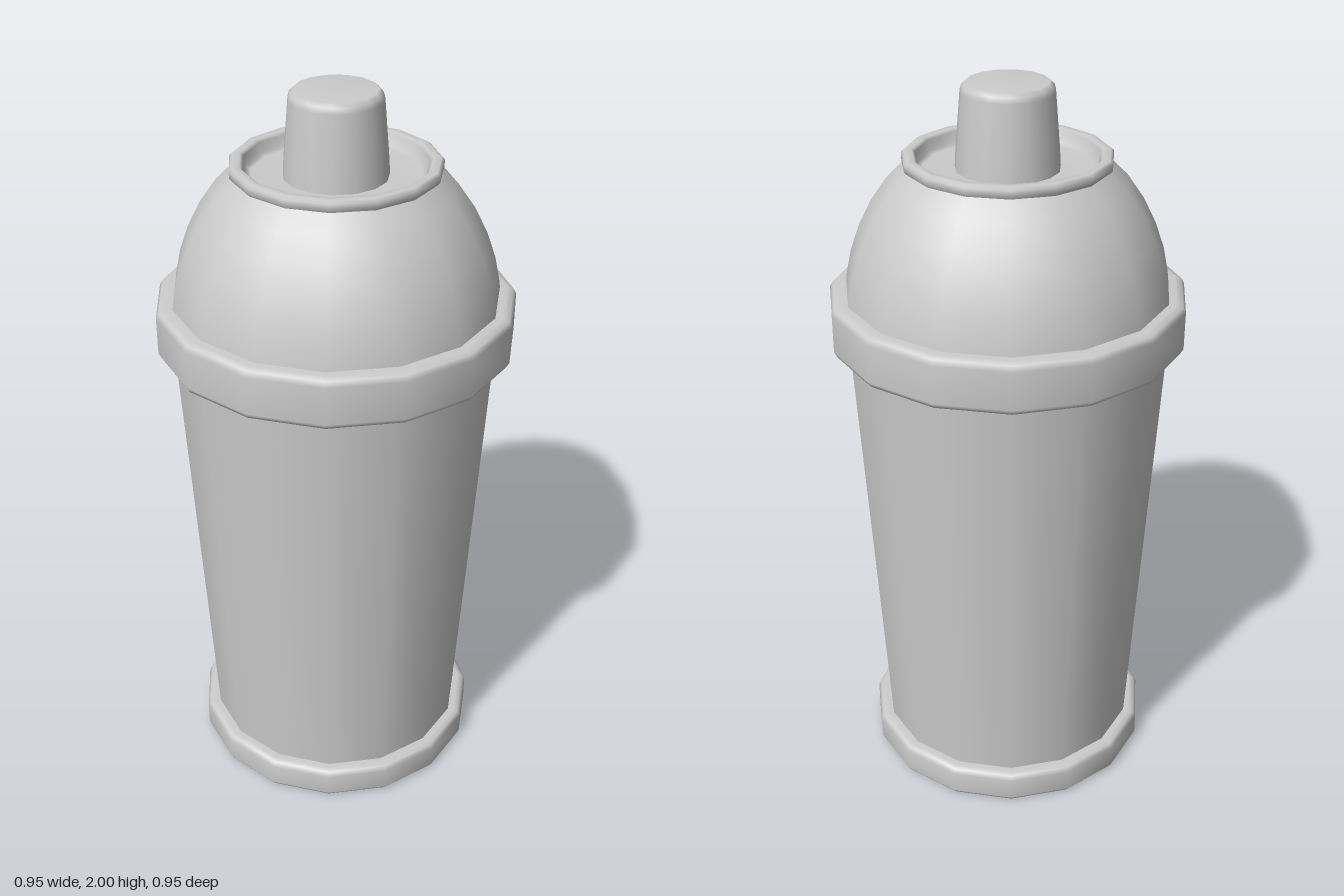
import * as THREE from 'three';

const SIDES = 15;

export function createModel() {
  const model = new THREE.Group();
  model.name = 'shaker';
  const material = new THREE.MeshStandardMaterial({ color: 0xcccccc, side: THREE.DoubleSide });

  // Every part is turned from a [radius, height] profile, with a corner facing the back
  function turned(name, profile) {
    const points = profile.map(([r, y]) => new THREE.Vector2(r, y));
    const mesh = new THREE.Mesh(new THREE.LatheGeometry(points, SIDES, Math.PI), material);
    mesh.name = name;
    mesh.position.z = 0.005; // centres the odd-sided outline
    model.add(mesh);
  }

  // Foot disc with softened edges
  turned('base', [
    [0, 0], [0.385, 0], [0.398, 0.004], [0.406, 0.016],
    [0.406, 0.078], [0.398, 0.09], [0.385, 0.094], [0.36, 0.094],
  ]);

  // Tapered cup
  turned('cup', [[0.367, 0.08], [0.437, 1.33]]);

  // Wide band where lid meets cup
  turned('collar', [
    [0.425, 1.312], [0.455, 1.312], [0.472, 1.316], [0.48, 1.33],
    [0.48, 1.433], [0.472, 1.447], [0.455, 1.452], [0.42, 1.452],
  ]);

  // Rounded lid
  turned('dome', [
    [0.437, 1.44], [0.432, 1.475], [0.418, 1.54], [0.393, 1.61],
    [0.358, 1.68], [0.313, 1.745], [0.268, 1.79],
  ]);

  // Raised lip around the recess, with its floor
  turned('rim', [
    [0.262, 1.78], [0.274, 1.795], [0.274, 1.812], [0.266, 1.819],
    [0.246, 1.819], [0.238, 1.812], [0.234, 1.785], [0.22, 1.778], [0.1, 1.778],
  ]);

  // Tapered spout cap
  turned('spout', [
    [0.137, 1.77], [0.134, 1.82], [0.121, 1.975], [0.117, 1.99], [0.106, 2], [0, 2],
  ]);

  return model;
}
